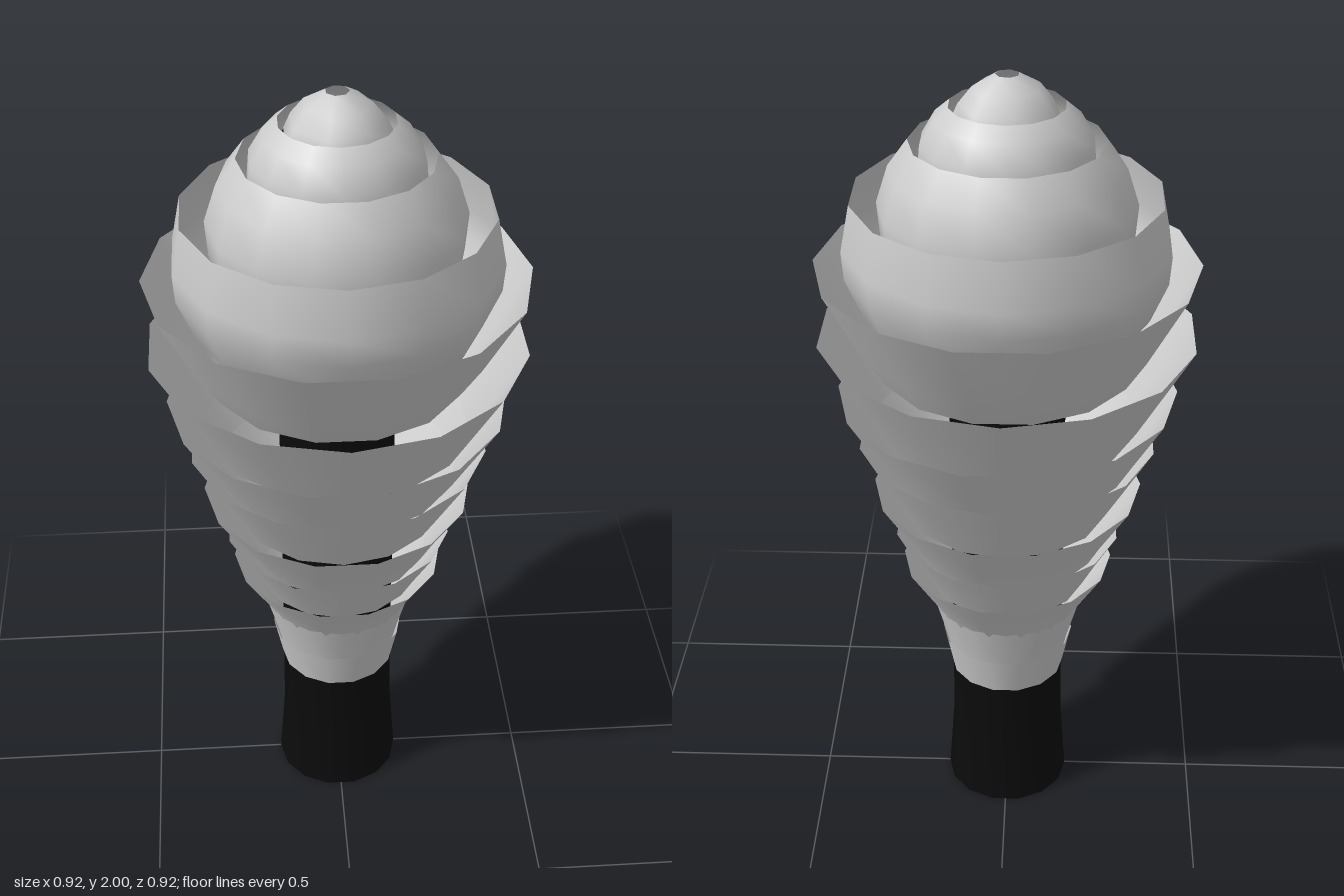
import * as THREE from 'three';

export function createModel() {
  const group = new THREE.Group();
  const grey = new THREE.MeshStandardMaterial({ color: 0xcccccc, side: THREE.DoubleSide });
  const black = new THREE.MeshStandardMaterial({ color: 0x0b0b0b, side: THREE.DoubleSide });

  // Revolved part; the profile lists [radius, height] from bottom to top
  const lathe = (name, profile, sides, phase, material) => {
    const points = profile.map(([r, y]) => new THREE.Vector2(r, y));
    const mesh = new THREE.Mesh(new THREE.LatheGeometry(points, sides, phase), material);
    mesh.name = name;
    group.add(mesh);
  };

  // Trunk, flared at the foot and running up inside the crown
  lathe('trunk', [[0, 0], [0.16, 0], [0.16, 0.001], [0.146, 0.2], [0.144, 0.4],
    [0.143, 1.87], [0.142, 1.875], [0, 1.875]], 14, Math.PI / 2, black);

  // Open leaf cups, top to bottom, each turned half a step from the last
  const tiers = [
    // Rounded cups of the dome
    [[0.17, 1.68], [0.208, 1.78], [0.202, 1.845], [0.17, 1.9], [0.135, 1.93]],
    [[0.24, 1.48], [0.297, 1.6], [0.304, 1.69], [0.275, 1.78], [0.228, 1.845]],
    [[0.28, 1.34], [0.345, 1.43], [0.386, 1.53], [0.391, 1.6], [0.368, 1.715]],
    // Flaring cups of the body
    [[0.315, 1.28], [0.365, 1.36], [0.46, 1.54]],
    [[0.325, 1.12], [0.37, 1.2], [0.46, 1.36]],
    [[0.3, 1.0], [0.34, 1.07], [0.416, 1.2]],
    [[0.255, 0.87], [0.29, 0.93], [0.37, 1.07]],
    [[0.23, 0.75], [0.26, 0.805], [0.336, 0.93]],
    [[0.2, 0.65], [0.232, 0.71], [0.286, 0.805]],
    [[0.165, 0.53], [0.19, 0.585], [0.267, 0.71]],
    // Slim collars above the trunk
    [[0.152, 0.43], [0.162, 0.475], [0.192, 0.585]],
    [[0.148, 0.37], [0.17, 0.475]],
  ];
  tiers.forEach((profile, i) =>
    lathe('leafTier' + (i + 1), profile, 14, i % 2 ? Math.PI / 2 : 0, grey));

  // Small bud at the tip, open at the top
  lathe('tipBud', [[0.125, 1.85], [0.13, 1.89], [0.112, 1.93], [0.08, 1.97], [0.028, 2]],
    7, Math.PI / 2, grey);

  return group;
}
